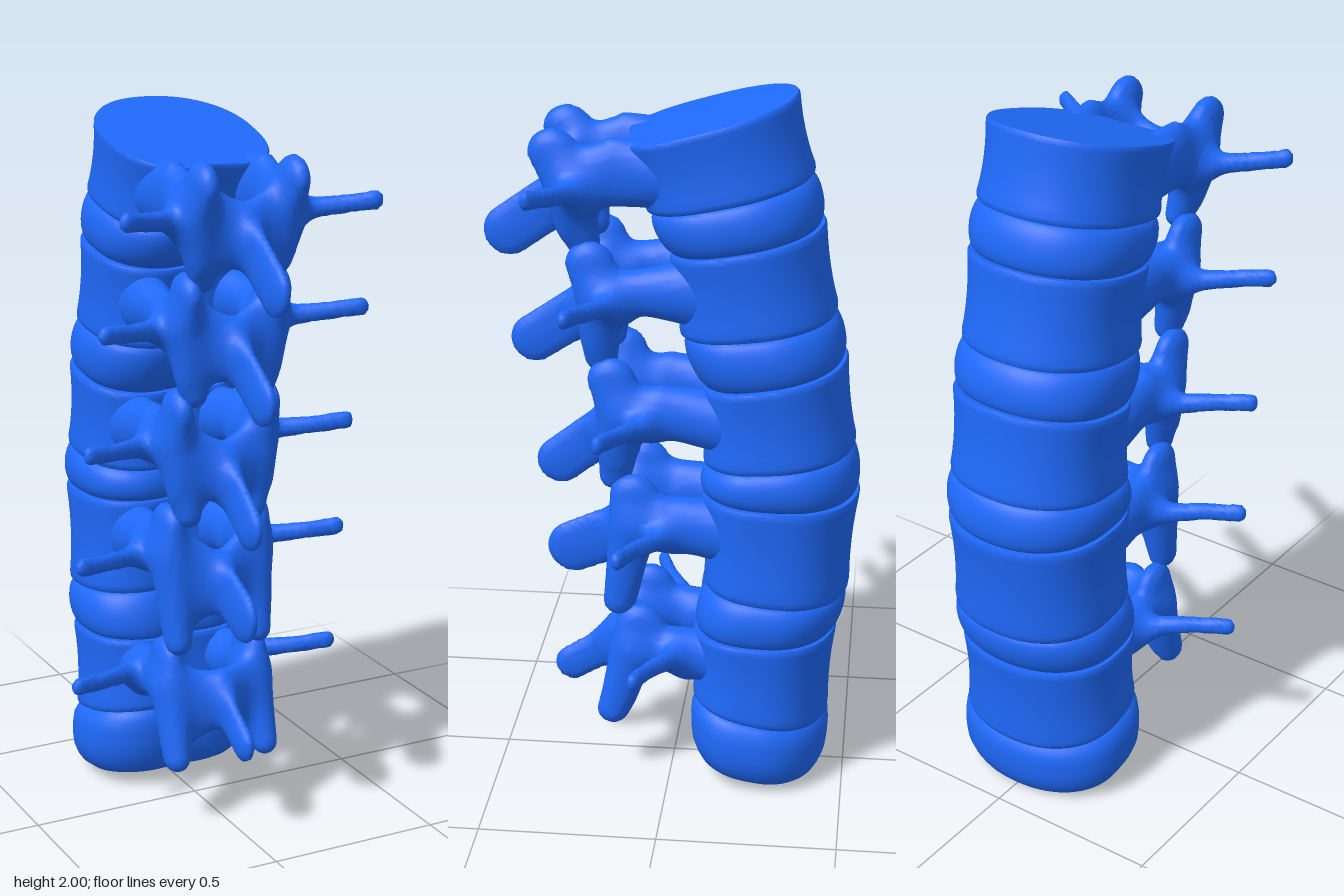
import * as THREE from 'three';
import { toCreasedNormals } from 'three/addons/utils/BufferGeometryUtils.js';

const material = new THREE.MeshStandardMaterial({ color: 0x1f69fa });
const V = (x, y, z) => new THREE.Vector3(x, y, z);
const lerp = THREE.MathUtils.lerp;

function addMesh(group, name, geometry) {
  const mesh = new THREE.Mesh(geometry, material);
  mesh.name = name;
  group.add(mesh);
}

// Kidney-shaped block between two tilted plates; corners are [z, y], profile rows are [height, scale]
function block([frontLow, backLow, frontTop, backTop], width, profile, sides = 72) {
  const bend = (v, p) => Math.sign(v) * Math.abs(v) ** p;
  const points = [], index = [];
  profile.forEach(([h, s], row) => {
    for (let j = 0; j < sides; j++) {
      const q = j / sides * Math.PI * 2, back = Math.cos(q) > 0;
      const x = width * bend(Math.sin(q), back ? 0.85 : 0.92);
      let f = 0.5 * bend(Math.cos(q), back ? 0.7 : 0.92);
      if (back) f = f * 1.05 - 0.06 * Math.exp(-((x / 0.08) ** 2));
      f = 0.5 + f * s;
      points.push(V(x * s,
        lerp(lerp(frontLow[1], frontTop[1], h), lerp(backLow[1], backTop[1], h), f),
        lerp(lerp(frontLow[0], frontTop[0], h), lerp(backLow[0], backTop[0], h), f)));
      if (row === 0) continue;
      const a = (row - 1) * sides + j, b = (row - 1) * sides + (j + 1) % sides;
      index.push(a, b, a + sides, b, b + sides, a + sides);
    }
  });
  const geometry = new THREE.BufferGeometry().setFromPoints(points);
  geometry.setIndex(index);
  geometry.computeVertexNormals();
  return toCreasedNormals(geometry, 0.7);
}

const bodyProfile = [[0, 0], [0, 0.97], [0.03, 0.995], [0.08, 1], [0.2, 0.985], [0.35, 0.975], [0.5, 0.972],
  [0.65, 0.975], [0.8, 0.985], [0.92, 0.998], [0.97, 1], [1, 0.985], [1, 0]];
const discProfile = [[0, 0]];
for (let i = 0; i <= 12; i++) {
  const q = (i / 12 - 0.5) * Math.PI;
  discProfile.push([0.5 + 0.5 * Math.sin(q), 0.9 + 0.12 * Math.cos(q)]);
}
discProfile.push([1, 0]);
// The lowest disc has a shallow hollow underneath
const lowDiscProfile = [[0.2, 0], [0.17, 0.5], [0.1, 0.68], [0.02, 0.76], [0, 0.8], [0.03, 0.87], [0.1, 0.94],
  [0.2, 0.99], [0.35, 1.035], [0.5, 1.045], [0.7, 1.04], [0.85, 1.02], [0.95, 0.97], [1, 0.92], [1, 0]];

// Distance to a chain of tapering ellipsoid sweeps; stations are [x, y, z, rx, ry, rz]
function chainDistance(chain, x, y, z) {
  let best = Infinity;
  for (let i = 0; i < chain.length - 1; i++) {
    const a = chain[i], b = chain[i + 1];
    const dx = b[0] - a[0], dy = b[1] - a[1], dz = b[2] - a[2];
    const along = ((x - a[0]) * dx + (y - a[1]) * dy + (z - a[2]) * dz) / (dx * dx + dy * dy + dz * dz);
    const t = Math.min(1, Math.max(0, along));
    const rx = lerp(a[3], b[3], t), ry = lerp(a[4], b[4], t), rz = lerp(a[5], b[5], t);
    const qx = (x - a[0] - dx * t) / rx, qy = (y - a[1] - dy * t) / ry, qz = (z - a[2] - dz * t) / rz;
    const k0 = Math.hypot(qx, qy, qz), k1 = Math.hypot(qx / rx, qy / ry, qz / rz) + 1e-6;
    best = Math.min(best, k0 < 1e-3 ? -Math.min(rx, ry, rz) : k0 * (k0 - 1) / k1);
  }
  return best;
}

// Smooth skin flowing over several chains, mirrored in x and meshed on a regular grid
function blendedSkin(chains, low, high, step = 0.012, blend = 0.014) {
  const n = low.map((v, i) => Math.ceil((high[i] - v) / step) + 1);
  const stride = [1, n[0], n[0] * n[1]], total = stride[2] * n[2];
  const values = new Float32Array(total), cell = new Int32Array(total).fill(-1);
  const gridPoint = i => [i % n[0], Math.floor(i / n[0]) % n[1], Math.floor(i / stride[2])];
  for (let i = 0; i < total; i++) {
    const [x, y, z] = gridPoint(i).map((g, k) => low[k] + g * step);
    let sum = 1e-30;
    for (const chain of chains) sum += Math.exp(-chainDistance(chain, Math.abs(x), y, z) / blend);
    values[i] = -blend * Math.log(sum);
  }
  // One vertex in each cell that the surface crosses
  const points = [], index = [];
  const corner = b => [b & 1, (b >> 1) & 1, b >> 2];
  const offset = Array.from({ length: 8 }, (_, b) => corner(b).reduce((s, c, k) => s + c * stride[k], 0));
  for (let i = 0; i < total; i++) {
    const g = gridPoint(i);
    if (g.some((c, k) => c >= n[k] - 1)) continue;
    const sum = [0, 0, 0];
    let count = 0;
    for (let a = 0; a < 8; a++) for (const bit of [1, 2, 4]) {
      const va = values[i + offset[a]], vb = values[i + offset[a | bit]];
      if (a & bit || (va < 0) === (vb < 0)) continue;
      const from = corner(a), to = corner(a | bit);
      for (let k = 0; k < 3; k++) sum[k] += lerp(from[k], to[k], va / (va - vb));
      count++;
    }
    if (!count) continue;
    cell[i] = points.length;
    points.push(V(...sum.map((s, k) => low[k] + (g[k] + s / count) * step)));
  }
  // One quad around each grid edge that the surface crosses
  for (let i = 0; i < total; i++) for (let d = 0; d < 3; d++) {
    if (cell[i] < 0 || (values[i] < 0) === (values[i + stride[d]] < 0)) continue;
    const u = stride[(d + 1) % 3], v = stride[(d + 2) % 3];
    const quad = [cell[i], cell[i - u], cell[i - u - v], cell[i - v]];
    if (values[i] >= 0) quad.reverse();
    index.push(quad[0], quad[1], quad[2], quad[0], quad[2], quad[3]);
  }
  const geometry = new THREE.BufferGeometry().setFromPoints(points);
  geometry.setIndex(index);
  geometry.computeVertexNormals();
  return geometry;
}

// Vertebrae from the top down; body corners and arch points are [z, y], root is the pedicle's [y, radius]
// inside the body, transverse tips are [x, y, z] and spine ends in a blade half-height
const vertebrae = [
  { body: [[-0.38, 1.785], [0.07, 1.685], [-0.33, 2.0], [0.14, 1.868]], width: 0.225,
    root: [1.795, 0.088], pedicle: [0.15, 1.805, 0.094], upper: [0.31, 1.855], mid: [0.265, 1.765],
    lower: [0.1, 0.235, 1.6], lamina: [0.295, 1.71], tip: [0.365, 1.785, 0.345], spine: [0.455, 1.597, 0.073] },
  { body: [[-0.45, 1.4], [-0.02, 1.345], [-0.41, 1.65], [0.01, 1.57]], width: 0.23,
    root: [1.475, 0.1], pedicle: [0.08, 1.475, 0.062], upper: [0.215, 1.55], mid: [0.185, 1.46],
    lower: [0.1, 0.19, 1.275], lamina: [0.235, 1.39], tip: [0.385, 1.475, 0.25], spine: [0.39, 1.287, 0.07] },
  { body: [[-0.51, 1.015], [-0.085, 0.975], [-0.48, 1.27], [-0.08, 1.2]], width: 0.236,
    root: [1.105, 0.09], pedicle: [0.02, 1.135, 0.074], upper: [0.16, 1.22], mid: [0.125, 1.12],
    lower: [0.1, 0.155, 0.925], lamina: [0.185, 1.03], tip: [0.395, 1.13, 0.165], spine: [0.325, 0.922, 0.07] },
  { body: [[-0.5, 0.575], [-0.09, 0.61], [-0.525, 0.875], [-0.08, 0.885]], width: 0.24,
    root: [0.78, 0.095], pedicle: [0.02, 0.805, 0.074], upper: [0.1, 0.88], mid: [0.1, 0.79],
    lower: [0.125, 0.145, 0.55], lamina: [0.16, 0.71], tip: [0.4, 0.8, 0.115], spine: [0.29, 0.653, 0.08] },
  { body: [[-0.45, 0.18], [-0.06, 0.255], [-0.47, 0.455], [-0.06, 0.47]], width: 0.243,
    root: [0.375, 0.083], pedicle: [-0.01, 0.405, 0.068], upper: [0.085, 0.48], mid: [0.1, 0.4],
    lower: [0.14, 0.165, 0.205], lamina: [0.165, 0.36], tip: [0.4, 0.435, 0.075], spine: [0.3, 0.275, 0.054] },
];

function buildVertebra(v, number) {
  const group = new THREE.Group();
  group.name = `vertebra${number}`;
  addMesh(group, 'vertebralBody', block(v.body, v.width, bodyProfile));

  const [mz, my] = v.mid, [lz, ly] = v.lamina, [sz, sy, sr] = v.spine, [tx, ty, tz] = v.tip;
  const [rootY, rootR] = v.root, [pz, py, pr] = v.pedicle, [uz, uy] = v.upper, [ix, iz, iy] = v.lower;
  const tall = (uy - iy) / 2, backZ = lerp(lz, sz, 0.45), backY = lerp(ly, sy, 0.45);
  const pedicle = [[0.122, rootY, pz - 0.17, 0.075, rootR, 0.06], [0.135, py, pz, 0.045, pr, 0.05],
    [0.13, lerp(py, my, 0.8), mz, 0.045, pr * 0.85, 0.05]];
  const jointPillar = [[0.133, uy, uz, 0.034, 0.062, 0.066], [0.13, my, mz, 0.05, 0.06, 0.062],
    [ix, iy, iz, 0.036, 0.042, 0.045]];
  const lamina = [[0.115, (uy + iy) / 2, (uz + iz) / 2 + 0.005, 0.04, tall * 0.95, 0.035],
    [0, ly, lz, 0.05, 0.08, 0.036]];
  const spinousProcess = [[0, ly, lz, 0.04, 0.078, 0.05], [0, backY, backZ, 0.02, sr * 1.02, sr],
    [0, sy, sz, 0.023, sr, sr]];
  const transverseProcess = [[0.14, my - 0.015, tz - 0.12, 0.06, 0.06, 0.045],
    [0.22, ty - 0.022, tz - 0.08, 0.03, 0.028, 0.024], [0.31, ty - 0.01, tz - 0.032, 0.025, 0.025, 0.019],
    [tx, ty, tz, 0.02, 0.027, 0.017]];
  addMesh(group, 'neuralArch', blendedSkin(
    [pedicle, jointPillar, lamina, spinousProcess, transverseProcess],
    [-0.45, Math.min(iy, sy - sr) - 0.1, pz - 0.28], [0.45, uy + 0.12, sz + sr + 0.05]));
  return group;
}

export function createModel() {
  const model = new THREE.Group();
  model.name = 'lumbarSpine';
  vertebrae.forEach((v, i) => {
    model.add(buildVertebra(v, i + 1));
    // Disc filling the gap down to the next body
    const next = vertebrae[i + 1];
    const low = next ? [next.body[2], next.body[3]] : [[-0.435, -0.005], [-0.07, 0.045]];
    const corners = [...low, v.body[0], v.body[1]];
    addMesh(model, `disc${i + 1}`, block(corners, v.width + 0.006, next ? discProfile : lowDiscProfile));
  });
  return model;
}
